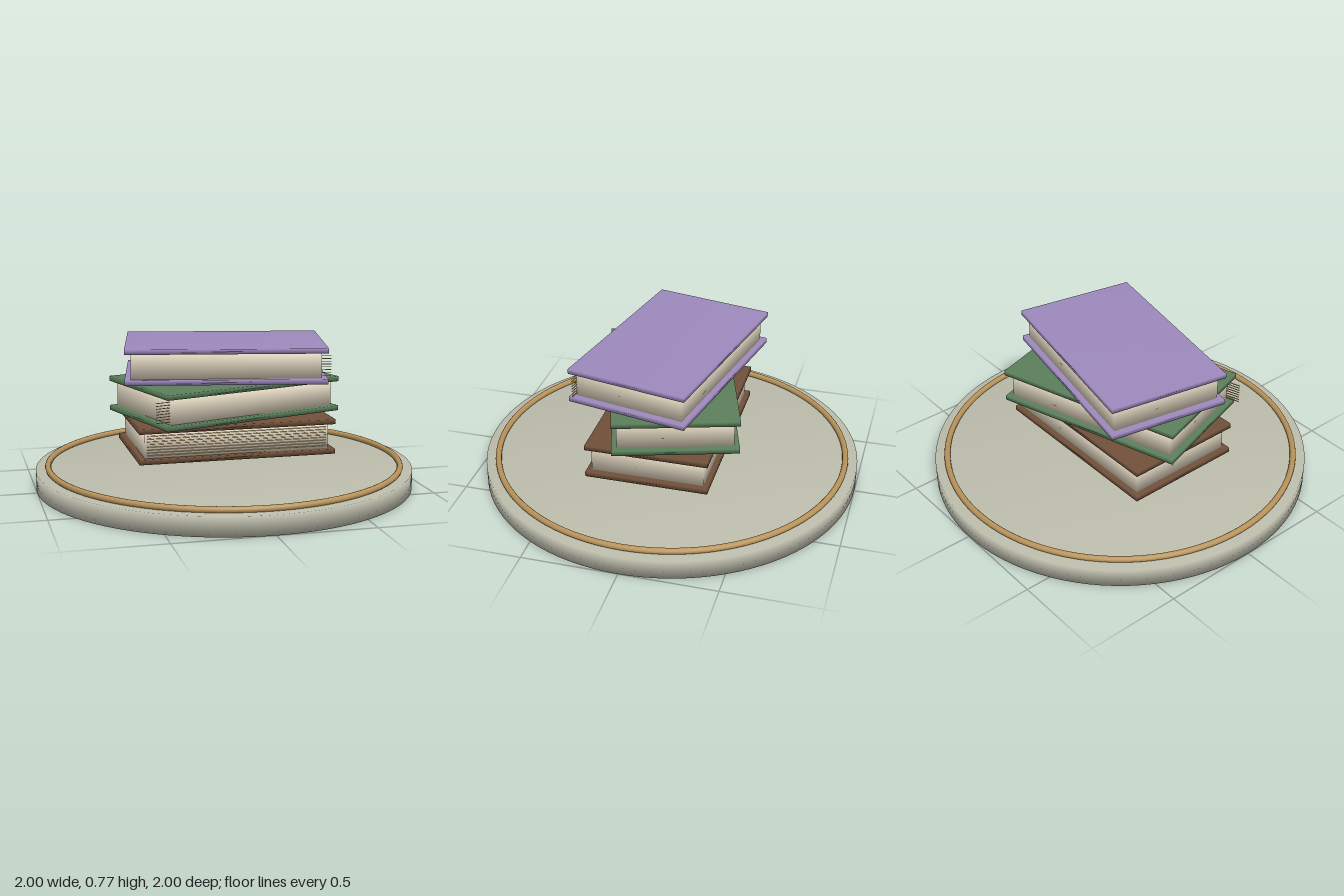
import * as THREE from 'three';
import { mergeVertices } from 'three/addons/utils/BufferGeometryUtils.js';

const flat = (name, color) => {
  const m = new THREE.MeshStandardMaterial({ color });
  m.name = name;
  return m;
};

// Weld corners so the shading rolls softly over the edges
function soften(geometry) {
  geometry.deleteAttribute('uv');
  geometry.deleteAttribute('normal');
  const welded = mergeVertices(geometry, 1e-4);
  welded.computeVertexNormals();
  return welded;
}

function addPart(parent, name, geometry, material, x = 0, y = 0, z = 0) {
  const mesh = new THREE.Mesh(geometry, material);
  mesh.name = name;
  mesh.position.set(x, y, z);
  parent.add(mesh);
  return mesh;
}

export function createModel() {
  const model = new THREE.Group();
  model.name = 'bookStack';

  const stone = flat('stone', 0xbcbcac);
  const gold = flat('gold', 0xb8935a);
  const paper = flat('paper', 0xe3d8c2);
  const pageEdge = flat('pageEdge', 0xc8a870);
  const covers = [
    flat('brownCover', 0x70503a),
    flat('greenCover', 0x5b7f5b),
    flat('purpleCover', 0x9d89bd),
  ];

  // Round base with a gold ring set into its top
  addPart(model, 'base', soften(new THREE.CylinderGeometry(1, 1, 0.1, 96)), stone, 0, 0.05, 0);
  const ring = addPart(model, 'goldRing', new THREE.TorusGeometry(0.935, 0.016, 12, 96), gold, 0, 0.114, 0);
  ring.rotation.x = Math.PI / 2;

  const coverT = 0.026, bookH = 0.183;
  const coverGeo = soften(new THREE.BoxGeometry(1.03, coverT, 0.64));
  const pagesGeo = soften(new THREE.BoxGeometry(0.967, bookH - 2 * coverT, 0.587));
  const lineGeo = soften(new THREE.BoxGeometry(0.945, 0.003, 0.004));

  // Three books, each turned a little differently
  [0, 0.3, -0.2].forEach((turn, i) => {
    const book = new THREE.Group();
    book.name = ['bottomBook', 'middleBook', 'topBook'][i];
    book.position.y = 0.197 + i * 0.194;
    model.add(book);

    const block = new THREE.Group();
    block.name = 'block';
    block.rotation.y = turn;
    book.add(block);
    addPart(block, 'lowerCover', coverGeo, covers[i], 0, coverT / 2, 0);
    addPart(block, 'pages', pagesGeo, paper, 0, bookH / 2, 0);
    addPart(block, 'upperCover', coverGeo, covers[i], 0, bookH - coverT / 2, 0);

    // Page lines, which poke out past the ends of the turned books
    for (let k = 0; k < 8; k++) {
      const y = bookH / 2 + (k - 3.5) * 0.0143;
      addPart(book, 'pageLine', lineGeo, pageEdge, 0, y, 0.296).rotation.y = turn;
    }
  });

  return model;
}
